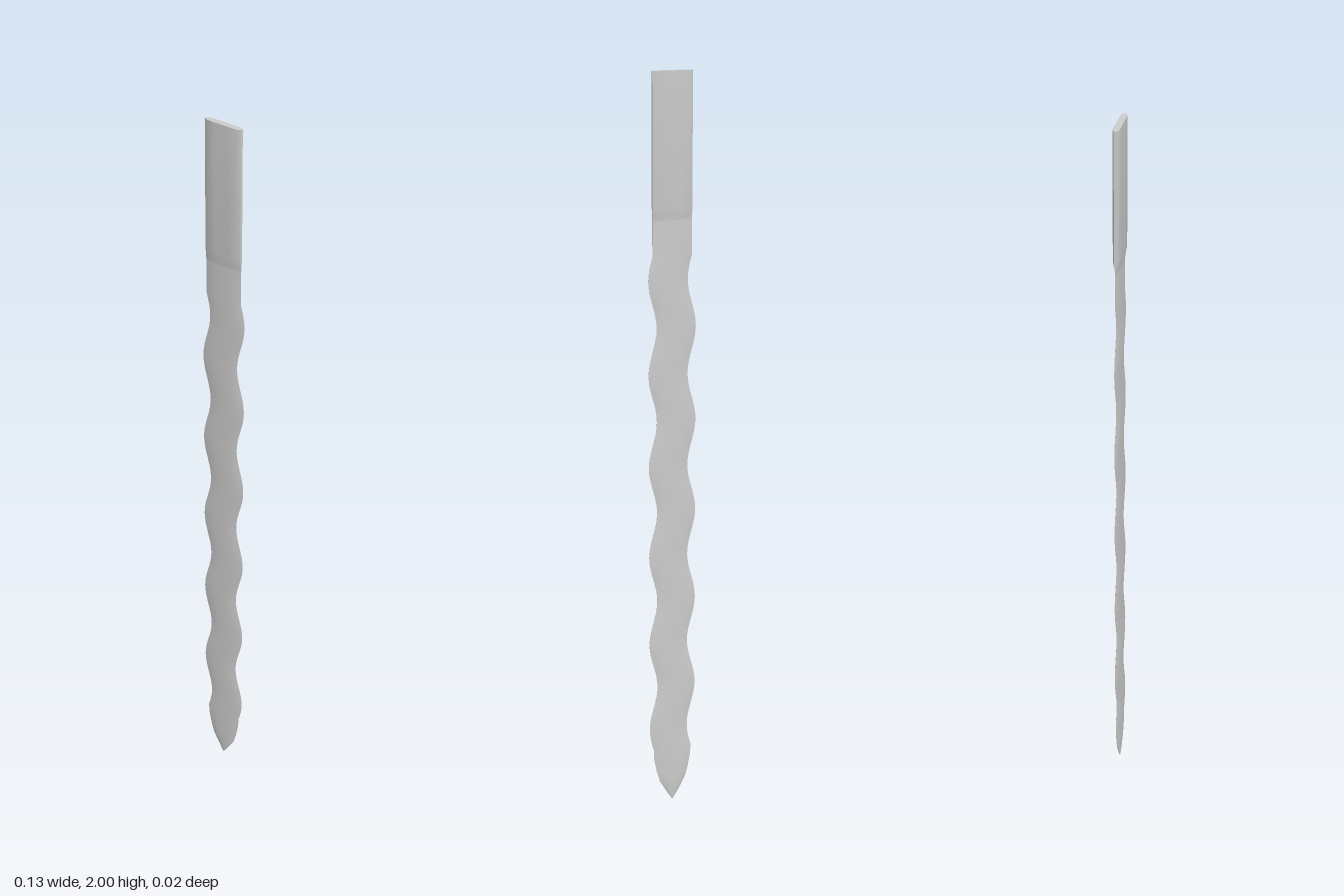
import * as THREE from 'three';
import { toCreasedNormals } from 'three/addons/utils/BufferGeometryUtils.js';

const HALF = 0.055;            // half width of the blade
const WAVE = 0.0115;           // sideways swing
const PERIOD = 0.25;
const WAVE_START = 0.1575, WAVE_END = WAVE_START + PERIOD * 5.5;

// Quarter sections: [fraction of half width, half thickness], edge to middle
const SHARP = [[1, 0.0003], [0.75, 0.0032], [0.4, 0.0048], [0, 0.005]];
const BLUNT = [[1, 0.003], [0.82, 0.008], [0.4, 0.0085], [0, 0.0085]];

// Closed ring at height y, blended from sharp (0) to blunt (1)
function ring(y, half, blend, thick = 1) {
  const waving = y > WAVE_START && y < WAVE_END;
  const cx = waving ? WAVE * Math.sin((2 * Math.PI * (y - WAVE_START)) / PERIOD) : 0;
  const q = SHARP.map((s, i) => [
    THREE.MathUtils.lerp(s[0], BLUNT[i][0], blend) * half,
    THREE.MathUtils.lerp(s[1], BLUNT[i][1], blend) * thick,
  ]);
  const front = [...q, ...q.slice(0, -1).reverse().map(([x, z]) => [-x, z])];
  const back = [...front].reverse().map(([x, z]) => [x, -z]);
  return [...front, ...back].map(([x, z]) => [x + cx, y, z]);
}

// Skin over a stack of rings, from bottom to top, with an optional flat cap
function loft(rings, capTop) {
  const n = rings[0].length, index = [];
  for (let r = 0; r < rings.length - 1; r++) {
    for (let i = 0; i < n; i++) {
      const a = r * n + i, b = r * n + ((i + 1) % n);
      index.push(a, a + n, b, b, a + n, b + n);
    }
  }
  if (capTop) {
    const base = (rings.length - 1) * n;
    for (let i = 1; i < n - 1; i++) index.push(base, base + i + 1, base + i);
  }
  const geo = new THREE.BufferGeometry();
  geo.setAttribute('position', new THREE.Float32BufferAttribute(rings.flat(2), 3));
  geo.setIndex(index);
  // Enlarged while creasing so that the thin edges stay distinct
  geo.scale(100, 100, 100);
  const creased = toCreasedNormals(geo, 0.6);
  creased.scale(0.01, 0.01, 0.01);
  return creased;
}

export function createModel() {
  const group = new THREE.Group();
  const material = new THREE.MeshStandardMaterial({ color: 0xcccccc, side: THREE.DoubleSide });
  const add = (name, geo) => {
    const mesh = new THREE.Mesh(geo, material);
    mesh.name = name;
    group.add(mesh);
  };

  // Leaf-shaped point, then the wavy length, then a short straight run
  const tip = [[0, 0.0005, 0.05], [0.03, 0.02, 0.6], [0.06, 0.037, 0.85],
    [0.09, 0.046, 1], [0.13, 0.054, 1], [WAVE_START, HALF, 1]];
  const rings = tip.map(([y, half, thick]) => ring(y, half, 0, thick));
  const steps = 5.5 * 16;
  for (let i = 1; i <= steps; i++) {
    rings.push(ring(WAVE_START + ((WAVE_END - WAVE_START) * i) / steps, HALF, 0));
  }
  rings.push(ring(1.625, HALF, 0));
  add('wavyBlade', loft(rings, false));

  // Thicker blunt-edged base of the blade
  add('bluntBase', loft([ring(1.625, HALF, 0), ring(1.64, HALF, 0.4),
    ring(1.657, HALF, 1), ring(2, HALF, 1)], true));

  return group;
}
